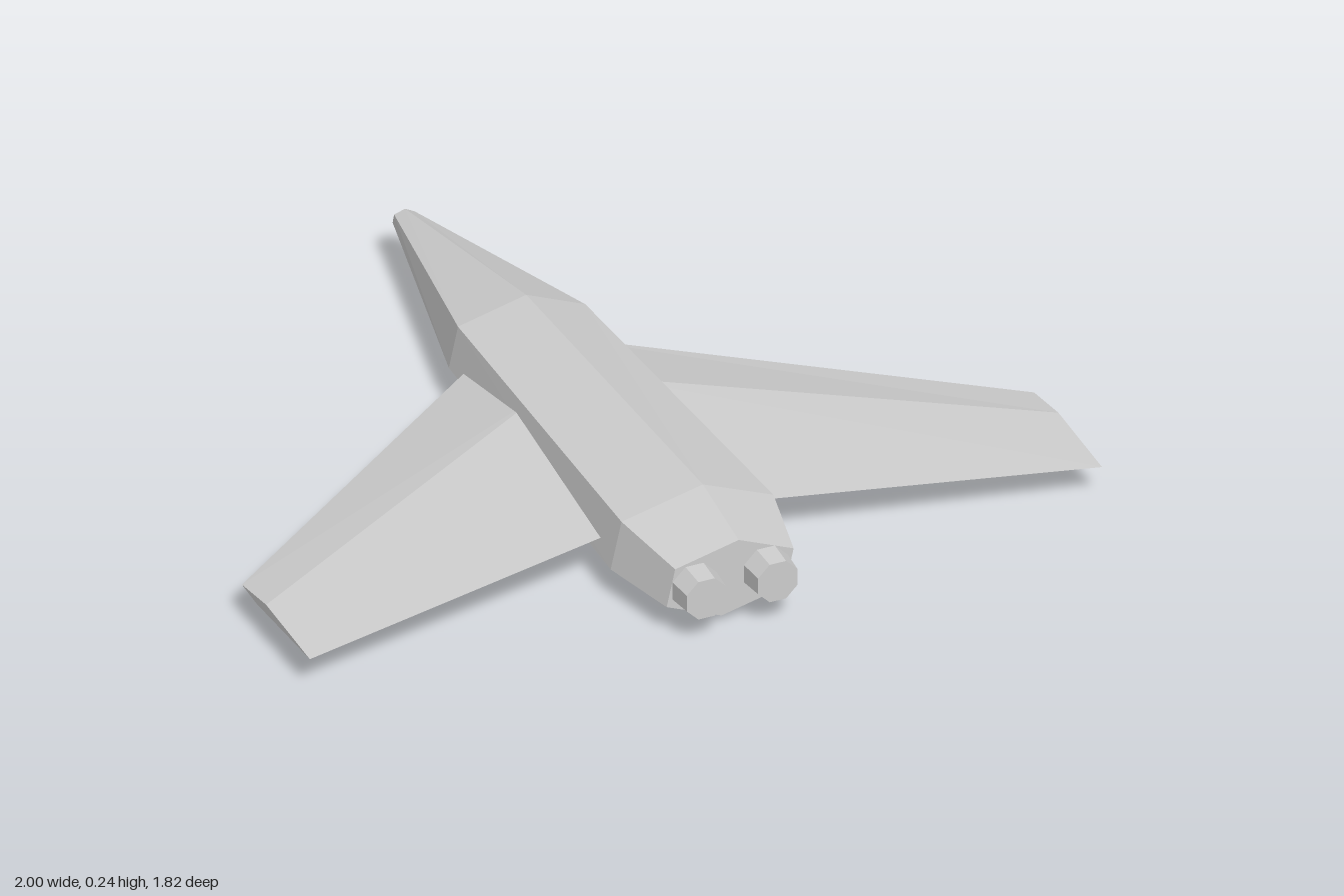
import * as THREE from 'three';

// Skin a list of closed loops, each counter-clockwise seen from the last loop's side, with capped ends
function loft(loops) {
  const n = loops[0].length;
  const pos = [];
  const tri = (a, b, c) => pos.push(...a, ...b, ...c);
  for (let s = 0; s < loops.length - 1; s++) {
    for (let i = 0; i < n; i++) {
      const j = (i + 1) % n;
      const [p, q] = [loops[s], loops[s + 1]];
      tri(p[i], p[j], q[j]);
      tri(p[i], q[j], q[i]);
    }
  }
  const first = loops[0], last = loops[loops.length - 1];
  for (let i = 1; i < n - 1; i++) {
    tri(first[0], first[i + 1], first[i]);
    tri(last[0], last[i], last[i + 1]);
  }
  const geo = new THREE.BufferGeometry();
  geo.setAttribute('position', new THREE.Float32BufferAttribute(pos, 3));
  geo.computeVertexNormals();
  return geo;
}

export function createModel() {
  const group = new THREE.Group();
  const hull = new THREE.MeshStandardMaterial({ color: 0xcccccc, flatShading: true });
  hull.name = 'hull grey';
  const add = (name, geo) => {
    const mesh = new THREE.Mesh(geo, hull);
    mesh.name = name;
    group.add(mesh);
    return mesh;
  };

  // Fuselage: twisted hexagon sections [z, centre y, x radius, y radius]
  const stations = [
    [-0.91, 0.12, 0.03, 0.021],
    [-0.3, 0.135, 0.187, 0.105],
    [0.64, 0.125, 0.223, 0.121],
    [0.845, 0.115, 0.174, 0.096],
  ];
  add('fuselage', loft(stations.map(([z, cy, rx, ry]) =>
    Array.from({ length: 6 }, (_, i) => {
      const a = 0.4 + (i * Math.PI) / 3;
      return [rx * Math.cos(a), cy + ry * Math.sin(a), z];
    }))));

  // Wings: diamond sections [y, z] as leading edge, top ridge, trailing edge, bottom ridge
  const root = [[0.117, -0.22], [0.165, 0.06], [0.118, 0.56], [0.084, 0.15]];
  const tip = [[0.083, 0.35], [0.1, 0.48], [0.083, 0.715], [0.075, 0.43]];
  const rootX = 0.18, innerX = 0.09;
  const section = (x, side) => root.map(([y, z], i) => {
    const t = (x - rootX) / (1 - rootX);
    return [side * x, y + (tip[i][0] - y) * t, z + (tip[i][1] - z) * t];
  });
  add('leftWing', loft([section(innerX, 1), section(1, 1)]));
  add('rightWing', loft([section(1, -1), section(innerX, -1)]));

  // Engine nozzles: slightly tapered octagons
  for (const [name, side] of [['leftEngine', 1], ['rightEngine', -1]]) {
    const geo = new THREE.CylinderGeometry(0.054, 0.064, 0.11, 8);
    geo.rotateY(Math.PI / 8);
    geo.rotateX(Math.PI / 2);
    add(name, geo).position.set(side * 0.09, 0.117, 0.855);
  }
  return group;
}
